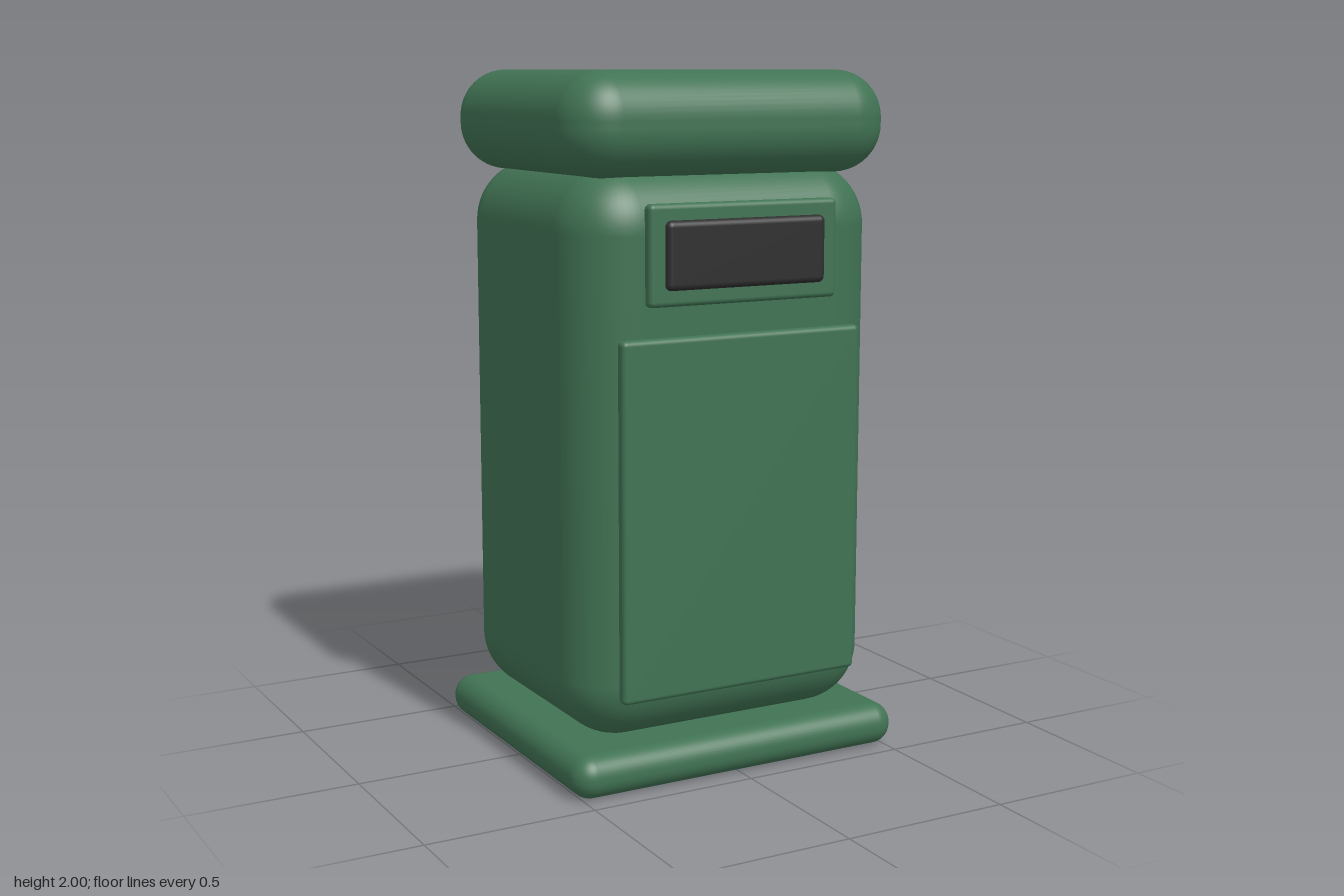
import * as THREE from 'three';
import { RoundedBoxGeometry } from 'three/addons/geometries/RoundedBoxGeometry.js';

export function createModel() {
  const model = new THREE.Group();
  model.name = 'postBox';

  const green = new THREE.MeshStandardMaterial({ color: 0x417354 });
  green.name = 'green paint';
  const dark = new THREE.MeshStandardMaterial({ color: 0x2e2e2e });
  dark.name = 'dark slot';

  // Rounded box centred on x, given by its bottom, top, back and front
  function block(name, material, width, [y0, y1], [z0, z1], radius, segments = 6) {
    const geometry = new RoundedBoxGeometry(width, y1 - y0, z1 - z0, segments, radius);
    const mesh = new THREE.Mesh(geometry, material);
    mesh.name = name;
    mesh.position.set(0, (y0 + y1) / 2, (z0 + z1) / 2);
    model.add(mesh);
  }

  // Plinth, body and overhanging cap
  block('base', green, 1.06, [0, 0.125], [-0.465, 0.465], 0.06);
  block('body', green, 0.975, [0.12, 1.74], [-0.423, 0.423], 0.18, 8);
  block('cap', green, 1.02, [1.71, 2], [-0.445, 0.445], 0.135, 8);

  // Raised door and slot surround on the front
  block('door', green, 0.765, [0.26, 1.28], [0.41, 0.45], 0.015, 4);
  block('slotFrame', green, 0.6, [1.365, 1.645], [0.41, 0.45], 0.015, 4);

  // Posting slot
  block('slot', dark, 0.506, [1.41, 1.6], [0.425, 0.468], 0.018, 4);

  return model;
}
